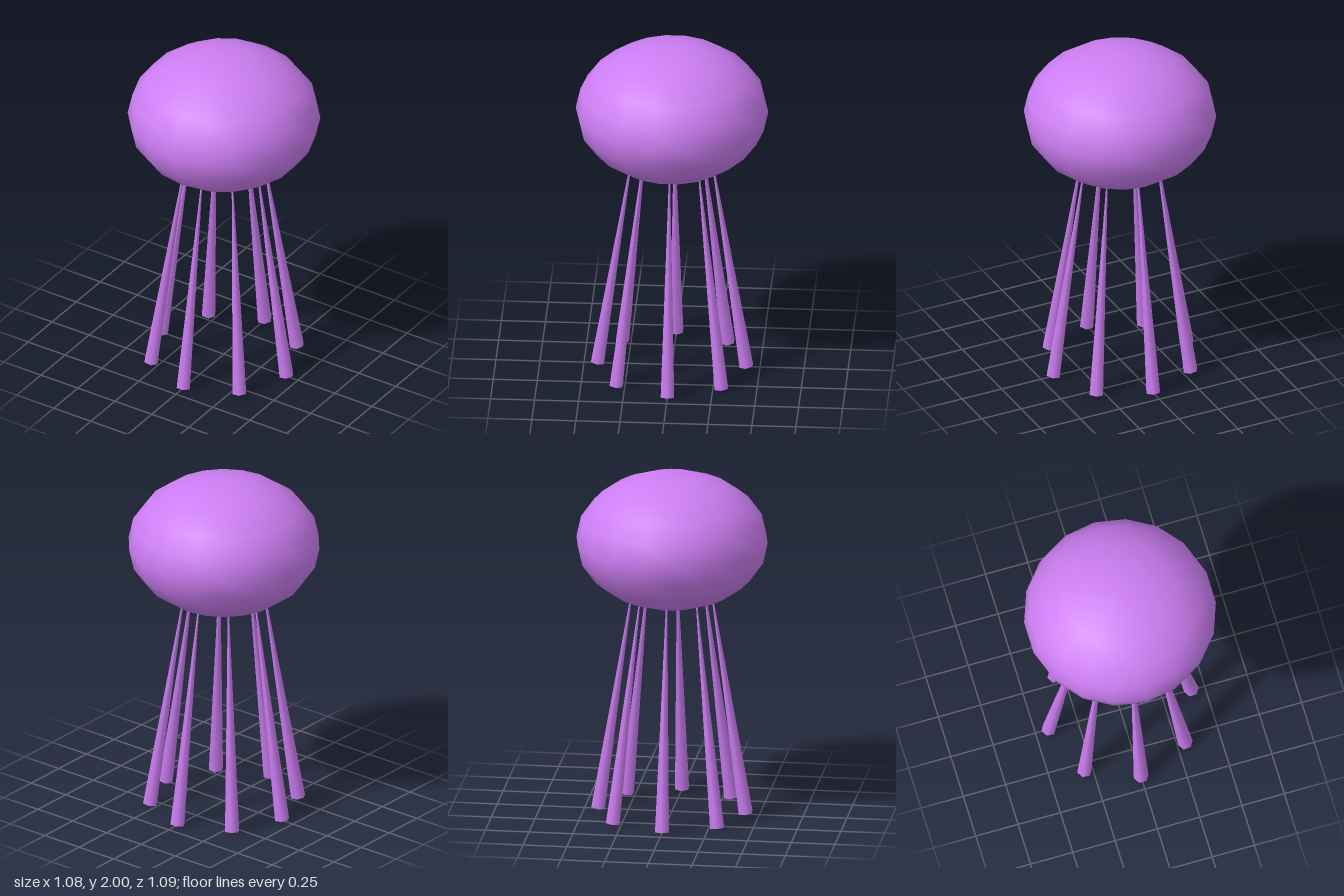
import * as THREE from 'three';

export function createModel() {
  const model = new THREE.Group();
  const material = new THREE.MeshStandardMaterial({ color: 0xcc7df2 });

  // Flattened round body, turned so a vertex column faces the front
  const bodyGeometry = new THREE.SphereGeometry(0.547, 18, 10);
  bodyGeometry.rotateY(Math.PI / 2);
  bodyGeometry.scale(1, 0.388 / 0.547, 1);
  const body = new THREE.Mesh(bodyGeometry, material);
  body.name = 'body';
  body.position.y = 1.612;
  model.add(body);

  // Eight tapered legs splayed outward, their thin tips buried in the body
  const up = new THREE.Vector3(0, 1, 0);
  const ring = (radius, y, angle) =>
    new THREE.Vector3(radius * Math.cos(angle), y, radius * Math.sin(angle));
  const length = ring(0.422, 0.006, 0).distanceTo(ring(0.228, 1.3, 0));
  const legGeometry = new THREE.CylinderGeometry(0.004, 0.043, length, 6);
  legGeometry.rotateY(Math.PI / 2);

  for (let i = 0; i < 8; i++) {
    const angle = (i * Math.PI) / 4;
    const foot = ring(0.422, 0.006, angle);
    const tip = ring(0.228, 1.3, angle);
    const leg = new THREE.Mesh(legGeometry, material);
    leg.name = `leg${i + 1}`;
    leg.position.copy(foot).lerp(tip, 0.5);
    leg.quaternion.setFromUnitVectors(up, tip.clone().sub(foot).normalize());
    model.add(leg);
  }
  return model;
}
